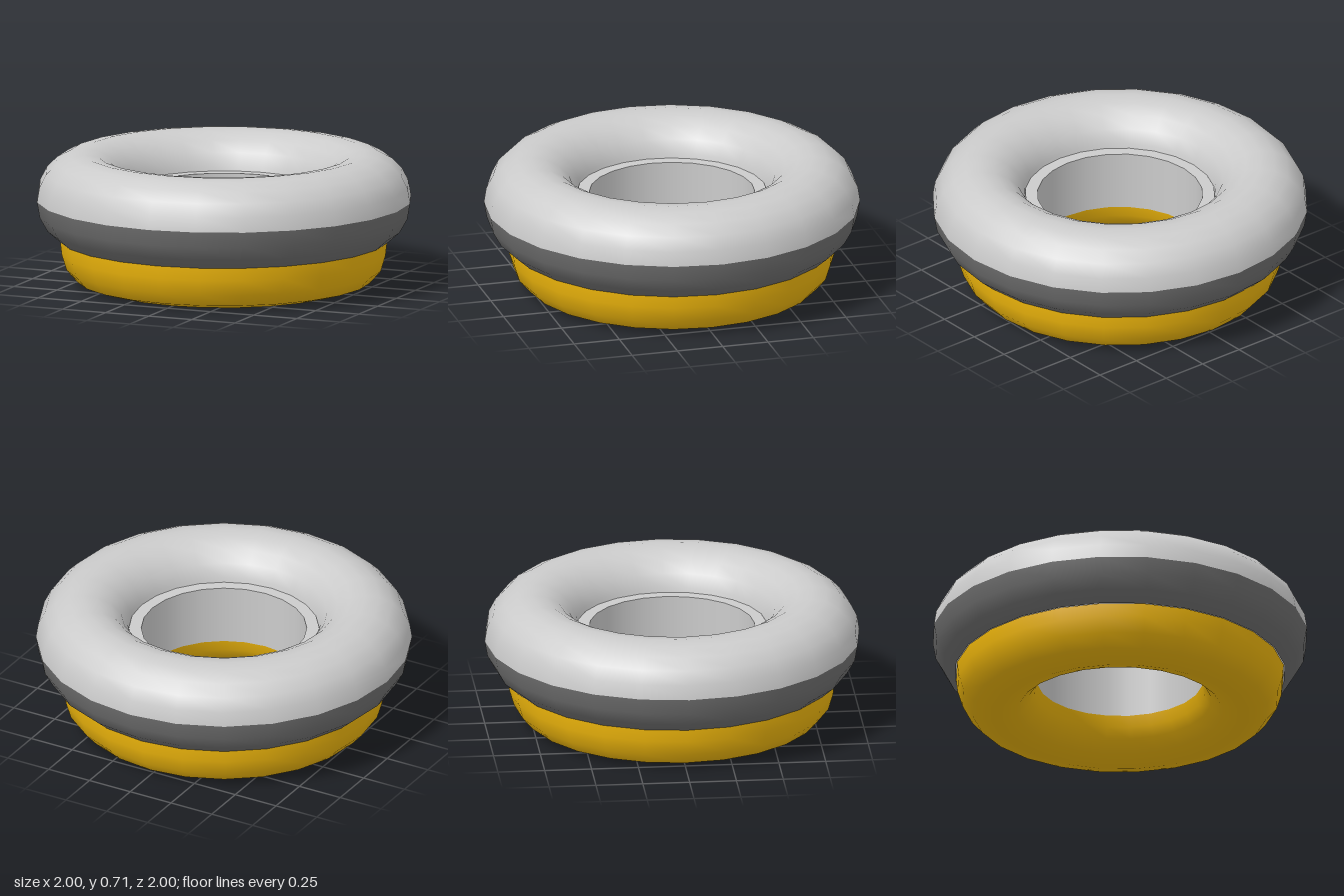
import * as THREE from 'three';

const SIDES = 24;

// Revolve a profile (counter-clockwise in section: out, up, in, down) around y
function ring(name, points, color = 0xcccccc) {
  const profile = points.map(([r, y]) => new THREE.Vector2(r, y));
  const mesh = new THREE.Mesh(
    new THREE.LatheGeometry(profile, SIDES),
    new THREE.MeshStandardMaterial({ color, side: THREE.DoubleSide })
  );
  mesh.name = name;
  return mesh;
}

// Elliptical arc of a tube section, angles in degrees from the outer side
function arc(radius, y, rx, ry, from, to, steps) {
  return Array.from({ length: steps + 1 }, (_, i) => {
    const a = THREE.MathUtils.degToRad(from + ((to - from) * i) / steps);
    return [radius + rx * Math.cos(a), y + ry * Math.sin(a)];
  });
}

export function createModel() {
  const group = new THREE.Group();
  group.name = 'ringCushion';

  // Rounded upper half, dipping into the central hole
  group.add(ring('upperTube', arc(0.75, 0.465, 0.25, 0.25, 0, 180, 10)));

  // Darker band tucking in towards the base
  group.add(ring('lowerBand', [[0.88, 0.25], [0.943, 0.305], [0.985, 0.38], [1, 0.465]], 0x707070));

  // Coloured base: inner wall, rounded bottom, outer wall
  group.add(ring('base', [
    [0.44, 0.2], [0.455, 0.14], [0.485, 0.085], [0.54, 0.03], [0.635, 0.0],
    [0.68, 0.0], [0.785, 0.03], [0.842, 0.095], [0.868, 0.18], [0.876, 0.25],
  ], 0xf2b90c));

  // Sleeve lining the hole, with a flat lip on top
  group.add(ring('innerSleeve', [[0.44, 0.52], [0.44, 0.2]]));
  group.add(ring('sleeveLip', [[0.506, 0.52], [0.44, 0.52]]));

  return group;
}
